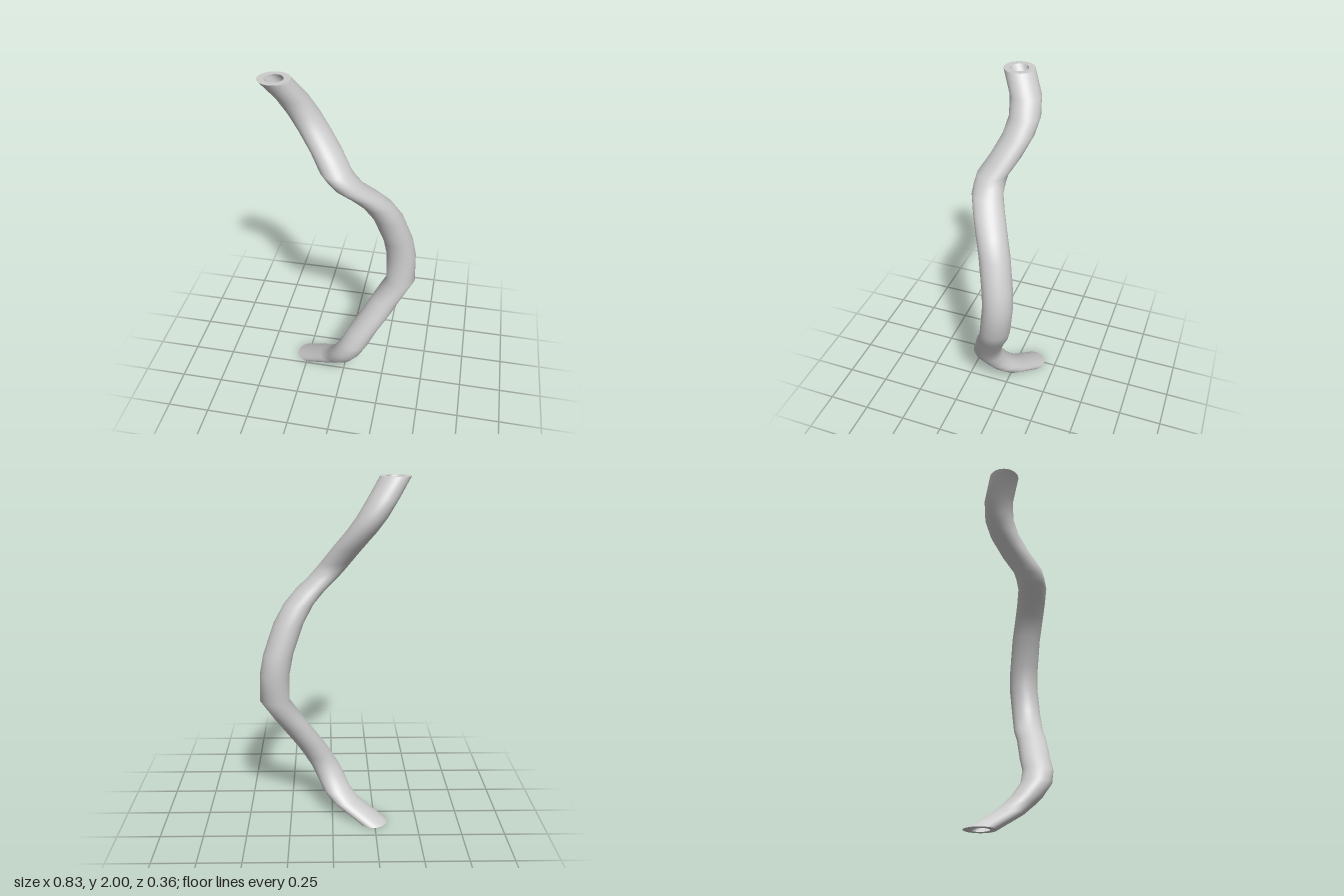
import * as THREE from 'three';

const SIDES = 40, OUTER = 0.083, INNER = 0.049;

// Centreline stations [x, y, z]; every cross-section is a horizontal circle
const PATH = [
  [-0.24, 0, -0.095], [-0.072, 0.106, -0.015], [-0.024, 0.16, 0.027], [-0.001, 0.2, 0.06],
  [0.043, 0.28, 0.099], [0.088, 0.36, 0.094], [0.13, 0.44, 0.064], [0.21, 0.57, 0.02],
  [0.253, 0.645, -0.014], [0.328, 0.775, -0.053], [0.322, 0.94, -0.067], [0.301, 1.05, -0.057],
  [0.242, 1.22, -0.021], [0.185, 1.32, 0.017], [0.121, 1.39, 0.053], [0.048, 1.455, 0.088],
  [0.008, 1.5, 0.09], [-0.024, 1.54, 0.085], [-0.083, 1.625, 0.034], [-0.155, 1.72, -0.01],
  [-0.21, 1.8, -0.025], [-0.265, 1.89, -0.009], [-0.333, 2, 0.05],
];

// Wall of horizontal circles stacked along the path, facing out or into the bore
function wallGeometry(radius, inward) {
  const positions = [], index = [];
  PATH.forEach(([x, y, z], row) => {
    for (let i = 0; i < SIDES; i++) {
      const a = (i / SIDES) * Math.PI * 2;
      positions.push(x + radius * Math.cos(a), y, z + radius * Math.sin(a));
      if (row === PATH.length - 1) continue;
      const p = row * SIDES + i, q = row * SIDES + (i + 1) % SIDES;
      const r = p + SIDES, s = q + SIDES;
      if (inward) index.push(p, q, r, q, s, r);
      else index.push(p, r, q, q, r, s);
    }
  });
  const geometry = new THREE.BufferGeometry();
  geometry.setAttribute('position', new THREE.Float32BufferAttribute(positions, 3));
  geometry.setIndex(index);
  geometry.computeVertexNormals();
  return geometry;
}

export function createModel() {
  const group = new THREE.Group();
  group.name = 'bentPipe';
  const material = new THREE.MeshStandardMaterial({ color: 0xcccccc });

  const add = (name, geometry) => {
    const mesh = new THREE.Mesh(geometry, material);
    mesh.name = name;
    group.add(mesh);
    return mesh;
  };

  add('outerWall', wallGeometry(OUTER, false));
  add('bore', wallGeometry(INNER, true));

  // Flat annular ends closing the pipe wall
  const rim = new THREE.RingGeometry(INNER, OUTER, SIDES);
  const top = add('topRim', rim);
  top.rotation.x = -Math.PI / 2;
  top.position.set(...PATH[PATH.length - 1]);
  const bottom = add('bottomRim', rim);
  bottom.rotation.x = Math.PI / 2;
  bottom.position.set(...PATH[0]);

  return group;
}
